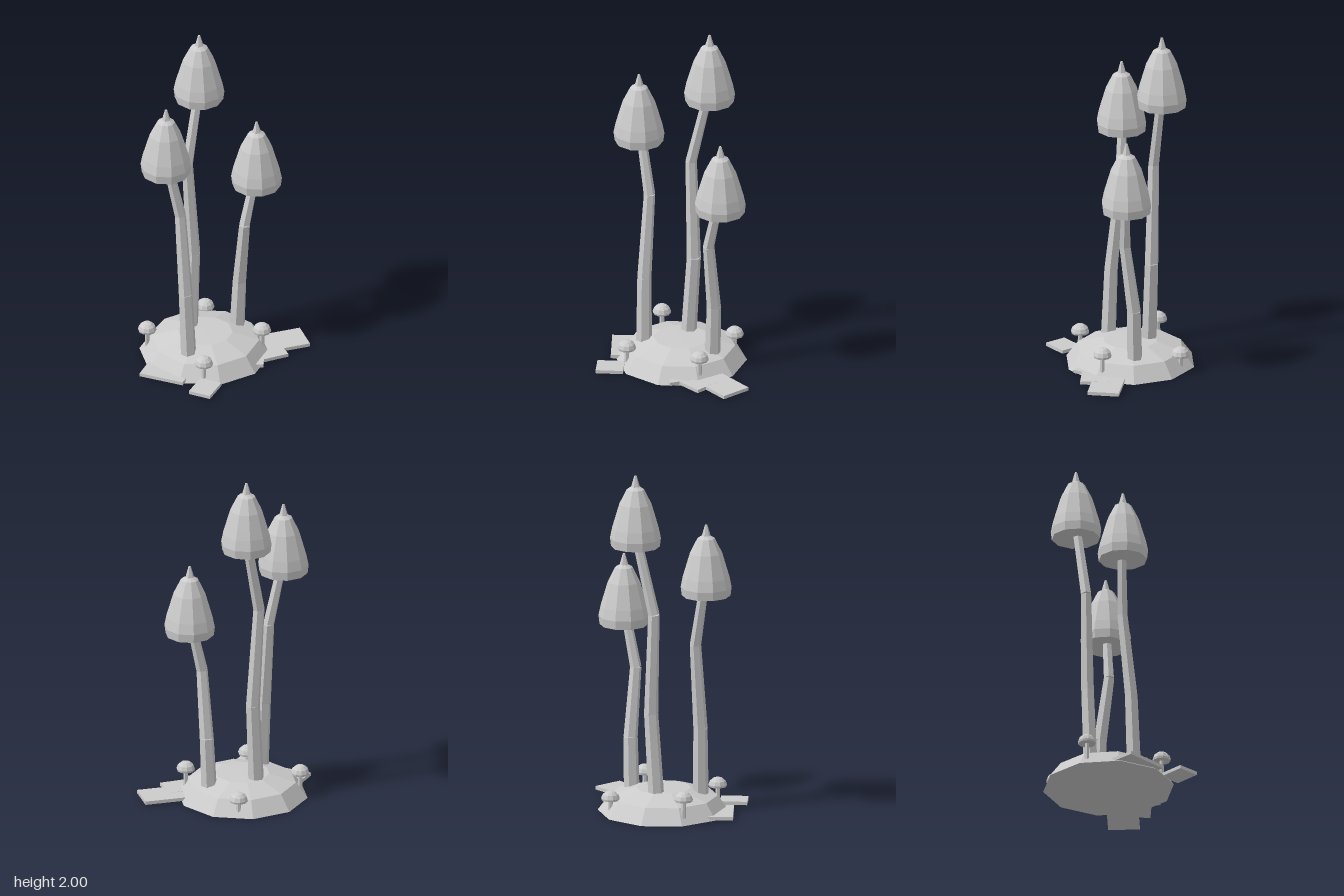
import * as THREE from 'three';

const stone = new THREE.MeshStandardMaterial({ color: 0xcccccc, flatShading: true });
stone.name = 'pale grey';

const V = (x, y, z) => new THREE.Vector3(x, y, z);

function add(parent, name, geometry, x = 0, y = 0, z = 0) {
  const mesh = new THREE.Mesh(geometry, stone);
  mesh.name = name;
  mesh.position.set(x, y, z);
  parent.add(mesh);
  return mesh;
}

function lathe(points, sides) {
  return new THREE.LatheGeometry(points.map(([r, y]) => new THREE.Vector2(r, y)), sides);
}

// Tapered six-sided rod between two points
function rod(parent, name, a, b, ra, rb) {
  const dir = b.clone().sub(a);
  const mid = a.clone().add(b).multiplyScalar(0.5);
  const mesh = add(parent, name, new THREE.CylinderGeometry(rb, ra, dir.length(), 6), mid.x, mid.y, mid.z);
  mesh.quaternion.setFromUnitVectors(V(0, 1, 0), dir.normalize());
}

// Bell-shaped cap profile, closed underneath
const CAP = [[0, 0], [0.139, 0], [0.145, 0.05], [0.133, 0.11], [0.117, 0.165], [0.092, 0.25], [0.05, 0.335], [0, 0.365]];

function tallMushroom(name, path, cap) {
  const group = new THREE.Group();
  group.name = name;
  const radii = [0.046, 0.041, 0.033, 0.027];
  for (let i = 0; i < path.length - 1; i++) {
    rod(group, 'stemSegment', V(...path[i]), V(...path[i + 1]), radii[i], radii[i + 1]);
  }
  const [x, y, z] = cap;
  add(group, 'cap', lathe(CAP, 10), x, y, z);
  add(group, 'capTip', new THREE.CylinderGeometry(0.007, 0.034, 0.095, 6), x, y + 0.3675, z);
  return group;
}

function smallMushroom(x, y, z) {
  const group = new THREE.Group();
  group.name = 'smallMushroom';
  const profile = [[0, 0], [0.05, 0], [0.053, 0.012], [0.045, 0.034], [0.026, 0.05], [0, 0.056]];
  add(group, 'smallCap', lathe(profile, 10), x, y, z);
  add(group, 'smallStem', new THREE.CylinderGeometry(0.013, 0.015, y - 0.02, 6), x, (y + 0.03) / 2, z);
  return group;
}

export function createModel() {
  const model = new THREE.Group();
  model.name = 'mushroomCluster';

  // Faceted earth mound
  const mound = [[0, 0.005], [0.375, 0.005], [0.308, 0.095], [0.157, 0.14], [0, 0.143]];
  add(model, 'mound', lathe(mound, 10), -0.03, 0, -0.025);

  // Flat stones around the foot: x, z, width, depth, turn
  const slabs = [
    [-0.32, -0.04, 0.26, 0.264, 0.328],
    [-0.355, 0.256, 0.156, 0.131, 0.279],
    [0.327, 0.26, 0.25, 0.18, -0.524],
    [0.169, 0.265, 0.2, 0.16, -0.448],
    [0.055, 0.244, 0.15, 0.15, 0.69],
  ];
  slabs.forEach(([x, z, w, d, turn], i) => {
    add(model, 'flatStone', new THREE.BoxGeometry(w, 0.02, d), x, 0.02 + i * 0.0006, z).rotation.y = turn;
  });

  // Three tall mushrooms on crooked stems
  model.add(
    tallMushroom('rightMushroom',
      [[-0.235, 0.06, 0.03], [-0.24, 0.5, 0.01], [-0.228, 1.0, -0.04], [-0.295, 1.36, -0.08]],
      [-0.307, 1.31, -0.08]),
    tallMushroom('middleMushroom',
      [[-0.03, 0.06, -0.138], [0.003, 0.6, -0.142], [-0.022, 1.19, -0.165], [0.08, 1.63, -0.17]],
      [0.087, 1.585, -0.172]),
    tallMushroom('leftMushroom',
      [[0.182, 0.06, 0.03], [0.193, 0.4, 0.04], [0.18, 0.8, 0.09], [0.245, 1.09, 0.11]],
      [0.259, 1.04, 0.111]),
  );

  // Four little mushrooms on the slope
  const small = [[-0.242, 0.14, -0.277], [0.215, 0.095, -0.236], [-0.282, 0.115, 0.183], [0.175, 0.14, 0.225]];
  for (const p of small) model.add(smallMushroom(...p));

  return model;
}
